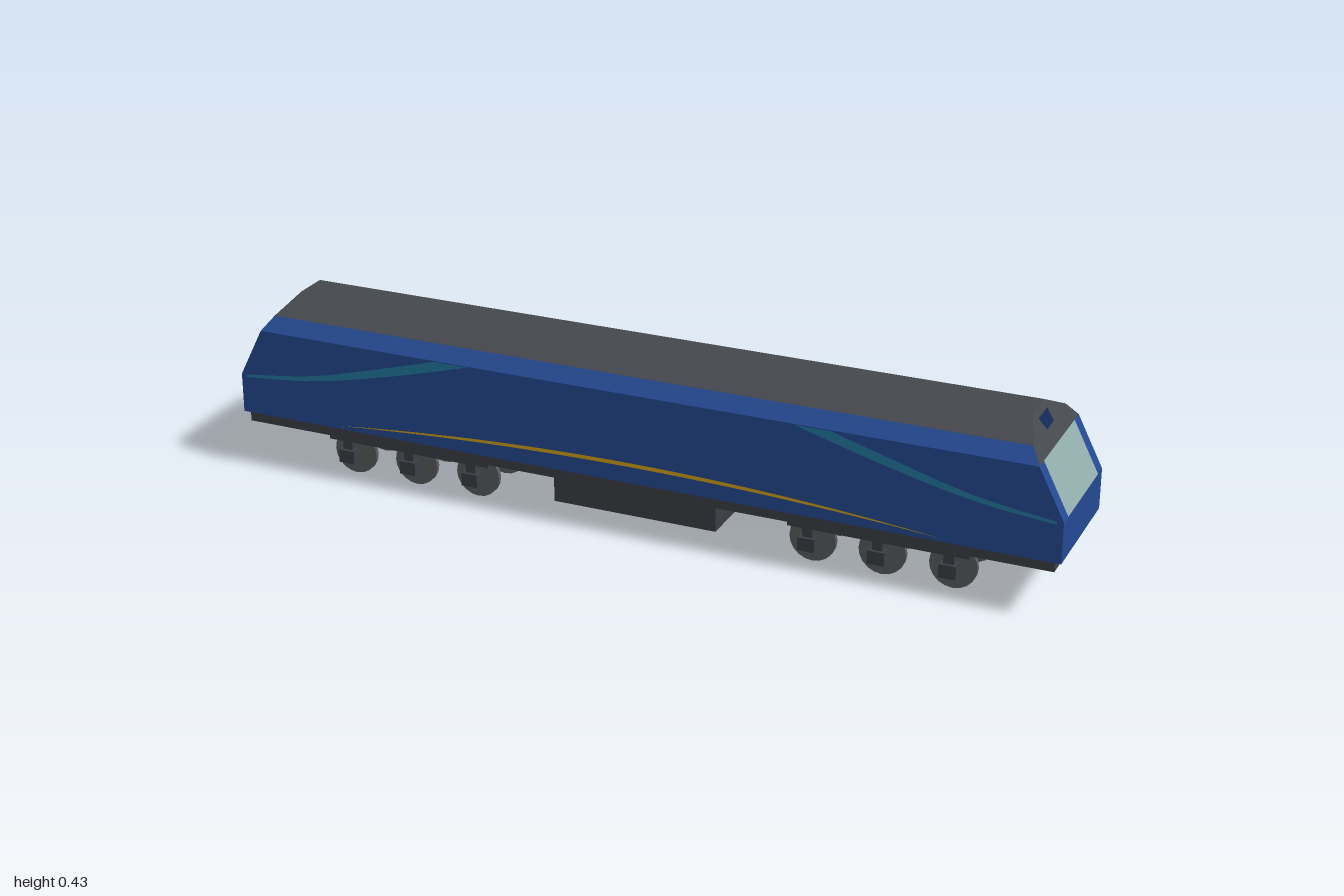
import * as THREE from 'three';

const mat = (name, color, side = THREE.FrontSide) => {
  const m = new THREE.MeshStandardMaterial({ color, side });
  m.name = name;
  return m;
};

export function createModel() {
  const model = new THREE.Group();
  model.name = 'locomotive';
  const blue = mat('bodyBlue', 0x244a94, THREE.DoubleSide);
  const roofGrey = mat('roofGrey', 0x45484d, THREE.DoubleSide);
  const glass = mat('windscreenGlass', 0x93adad, THREE.DoubleSide);
  const teal = mat('stripeTeal', 0x237aa3, THREE.DoubleSide);
  const yellow = mat('stripeYellow', 0xd6a419, THREE.DoubleSide);
  const dark = mat('underframeGrey', 0x3c3f46);
  const steel = mat('wheelSteel', 0x5a5c5f);

  const add = (parent, name, geometry, material, x = 0, y = 0, z = 0) => {
    const mesh = new THREE.Mesh(geometry, material);
    mesh.name = name;
    mesh.position.set(x, y, z);
    parent.add(mesh);
    return mesh;
  };
  const box = (parent, name, w, h, d, x, y, z, material = dark) =>
    add(parent, name, new THREE.BoxGeometry(w, h, d), material, x, y, z);

  // Convex flat panel, wound so that it faces away from the body centre
  const panel = (name, material, corners) => {
    const p = corners.map(c => new THREE.Vector3(...c));
    const n = p[1].clone().sub(p[0]).cross(p[2].clone().sub(p[0]));
    const mid = p.reduce((a, b) => a.add(b), new THREE.Vector3()).divideScalar(p.length);
    if (n.dot(mid.sub(new THREE.Vector3(0, 0.27, 0))) < 0) p.reverse();
    const tris = [];
    for (let i = 1; i < p.length - 1; i++) tris.push(p[0], p[i], p[i + 1]);
    const g = new THREE.BufferGeometry().setFromPoints(tris);
    g.computeVertexNormals();
    add(model, name, g, material);
  };

  // Body section heights and half widths
  const base = 0.144, sill = 0.24, eave = 0.358, shoulder = 0.39, top = 0.427;
  const wide = 0.15, shoulderZ = 0.122, topZ = 0.042, glassZ = 0.117;
  const capX = y => 0.94 - (y - eave) * 0.05 / (top - eave);
  const strip = (name, material, y0, z0, y1, z1) => panel(name, material, [
    [-capX(y0), y0, z0], [capX(y0), y0, z0], [capX(y1), y1, z1], [-capX(y1), y1, z1]]);

  // Body sides, shoulders and roof
  for (const s of [1, -1]) {
    panel('bodySide', blue, [[-1, base, s * wide], [1, base, s * wide], [1, sill, s * wide],
      [0.94, eave, s * wide], [-0.94, eave, s * wide], [-1, sill, s * wide]]);
    strip('bodyShoulder', blue, eave, s * wide, shoulder, s * shoulderZ);
    strip('roofSlope', roofGrey, shoulder, s * shoulderZ, top, s * topZ);
  }
  strip('roofTop', roofGrey, top, -topZ, top, topZ);

  // Both cab ends
  for (const s of [1, -1]) {
    panel('nose', blue, [[s, base, -wide], [s, base, wide], [s, sill, wide], [s, sill, -wide]]);
    const slope = (name, material, z0, z1) => panel(name, material,
      [[s, sill, z0], [s, sill, z1], [s * 0.94, eave, z1], [s * 0.94, eave, z0]]);
    slope('windscreen', glass, -glassZ, glassZ);
    slope('cabPillar', blue, glassZ, wide);
    slope('cabPillar', blue, -wide, -glassZ);

    // Sloping cap with an open lamp recess
    const cap = new THREE.Shape([[-wide, eave], [wide, eave], [shoulderZ, shoulder],
      [topZ, top], [-topZ, top], [-shoulderZ, shoulder]].map(c => new THREE.Vector2(...c)));
    cap.holes.push(new THREE.Path([[-0.025, 0.388], [-0.032, 0.413], [0.032, 0.413],
      [0.025, 0.388]].map(c => new THREE.Vector2(...c))));
    const g = new THREE.ShapeGeometry(cap);
    const pos = g.attributes.position;
    for (let i = 0; i < pos.count; i++) {
      const y = pos.getY(i);
      pos.setXYZ(i, s * capX(y), y, -s * pos.getX(i));
    }
    g.computeVertexNormals();
    add(model, 'endCap', g, roofGrey);
  }

  // Painted stripes on each side
  for (const turn of [0, Math.PI]) {
    const livery = new THREE.Group();
    livery.name = 'sideStripes';
    livery.rotation.y = turn;
    model.add(livery);
    const arc = new THREE.Shape();
    arc.moveTo(-0.74, 0.152);
    arc.quadraticCurveTo(0, 0.236, 0.74, 0.152);
    arc.quadraticCurveTo(0, 0.217, -0.74, 0.152);
    add(livery, 'yellowArc', new THREE.ShapeGeometry(arc, 24), yellow, 0, 0, wide + 0.002);
    for (const s of [1, -1]) {
      const v = (x, y) => new THREE.Vector2(s * x, y);
      const sweep = new THREE.Shape();
      sweep.moveTo(s * 0.985, 0.234);
      sweep.splineThru([v(0.8, 0.255), v(0.6, 0.3), v(0.395, 0.357)]);
      sweep.lineTo(s * 0.48, 0.357);
      sweep.splineThru([v(0.6, 0.322), v(0.8, 0.268), v(0.985, 0.241)]);
      add(livery, 'tealSweep', new THREE.ShapeGeometry(sweep, 8), teal, 0, 0, wide + 0.002);
    }
  }

  // Underframe and tank
  box(model, 'underframe', 1.97, 0.024, 0.29, 0, 0.132, 0);
  box(model, 'tank', 0.4, 0.07, 0.226, 0, 0.08, 0);

  // Three-axle bogies
  const wheelGeo = new THREE.CylinderGeometry(0.055, 0.055, 0.011, 20).rotateX(Math.PI / 2);
  const axleGeo = new THREE.CylinderGeometry(0.01, 0.01, 0.19, 12).rotateX(Math.PI / 2);
  for (const x of [-0.58, 0.58]) {
    const bogie = new THREE.Group();
    bogie.name = 'bogie';
    bogie.position.x = x;
    model.add(bogie);
    box(bogie, 'bolster', 0.05, 0.02, 0.19, 0, 0.105, 0);
    box(bogie, 'pivot', 0.045, 0.012, 0.08, 0, 0.117, 0);
    for (const s of [1, -1]) box(bogie, 'sideFrame', 0.42, 0.02, 0.02, 0, 0.105, s * 0.103);
    for (const ax of [-0.163, 0, 0.163]) {
      add(bogie, 'axle', axleGeo, steel, ax, 0.055, 0);
      for (const s of [1, -1]) {
        add(bogie, 'wheel', wheelGeo, steel, ax, 0.055, s * 0.069);
        box(bogie, 'axleBox', 0.04, 0.032, 0.026, ax, 0.058, s * 0.106);
        box(bogie, 'spring', 0.024, 0.024, 0.016, ax, 0.085, s * 0.103);
      }
    }
  }
  return model;
}
